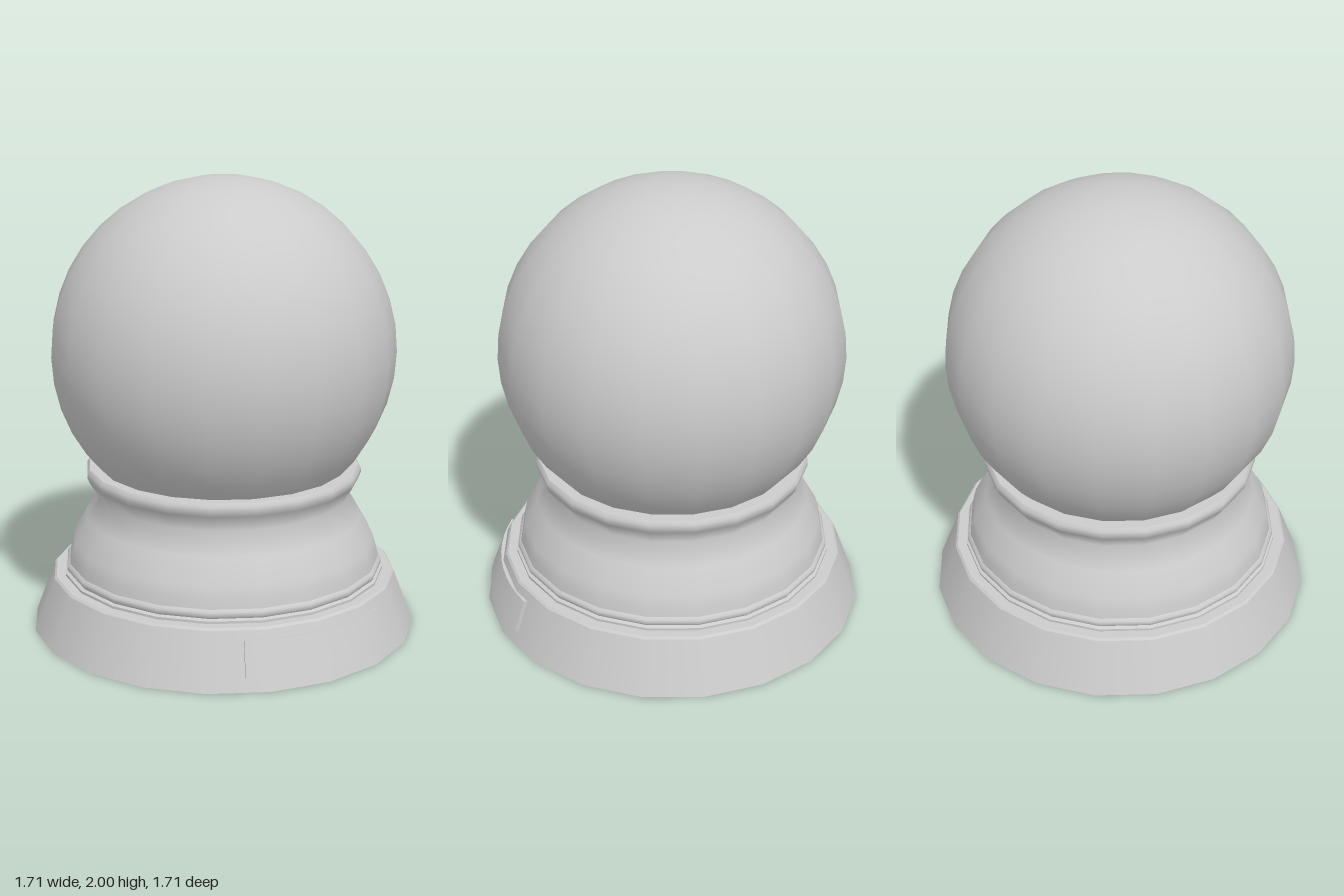
import * as THREE from 'three';

const SIDES = 20;
const material = new THREE.MeshStandardMaterial({ color: 0xcccccc, side: THREE.DoubleSide });

const toPoints = (list) => list.map(([r, y]) => new THREE.Vector2(r, y));

// Revolves each run of points separately, so the edges between runs stay sharp
function turned(name, runs, segments = SIDES, start = 0, sweep = Math.PI * 2) {
  const group = new THREE.Group();
  group.name = name;
  for (const run of runs) {
    const geometry = new THREE.LatheGeometry(toPoints(run), segments, start, sweep);
    const mesh = new THREE.Mesh(geometry, material);
    mesh.name = name + 'Surface';
    group.add(mesh);
  }
  return group;
}

export function createModel() {
  const model = new THREE.Group();
  model.name = 'crystalBallOnStand';

  // Glass ball, its underside sunk into the collar
  const ball = new THREE.Mesh(new THREE.SphereGeometry(0.755, SIDES, 20), material);
  ball.name = 'ball';
  ball.position.y = 1.245;
  model.add(ball);

  // Tapered foot with a flat underside and ledge
  model.add(turned('foot', [
    [[0, 0], [0.857, 0]],
    [[0.857, 0], [0.767, 0.238]],
    [[0.767, 0.238], [0.757, 0.247]],
    [[0.757, 0.247], [0.6, 0.247]],
  ]));

  // Small stepped moulding above the ledge
  model.add(turned('moulding', [
    [[0.715, 0.247], [0.715, 0.258]],
    [[0.715, 0.258], [0.7, 0.264]],
    [[0.7, 0.264], [0.708, 0.275], [0.708, 0.292], [0.695, 0.302]],
  ]));

  // Waisted pedestal flaring into a rounded collar
  model.add(turned('pedestal', [
    [[0.695, 0.302], [0.688, 0.34], [0.674, 0.395], [0.615, 0.5], [0.555, 0.597],
      [0.602, 0.672], [0.611, 0.695], [0.61, 0.715], [0.598, 0.73]],
    [[0.598, 0.73], [0.53, 0.73]],
  ]));

  // Curved blank plaque following the slope of the foot
  const half = THREE.MathUtils.degToRad(25);
  const section = [[0.815, 0.058], [0.842, 0.063], [0.789, 0.203], [0.76, 0.199]];
  const plaque = turned('plaque',
    [0, 1, 2].map((i) => [section[i], section[i + 1]]), 10, -half, half * 2);
  for (const angle of [-half, half]) {
    const end = new THREE.Mesh(new THREE.ShapeGeometry(new THREE.Shape(toPoints(section))), material);
    end.name = 'plaqueEnd';
    end.rotation.y = angle - Math.PI / 2;
    plaque.add(end);
  }
  model.add(plaque);

  return model;
}
